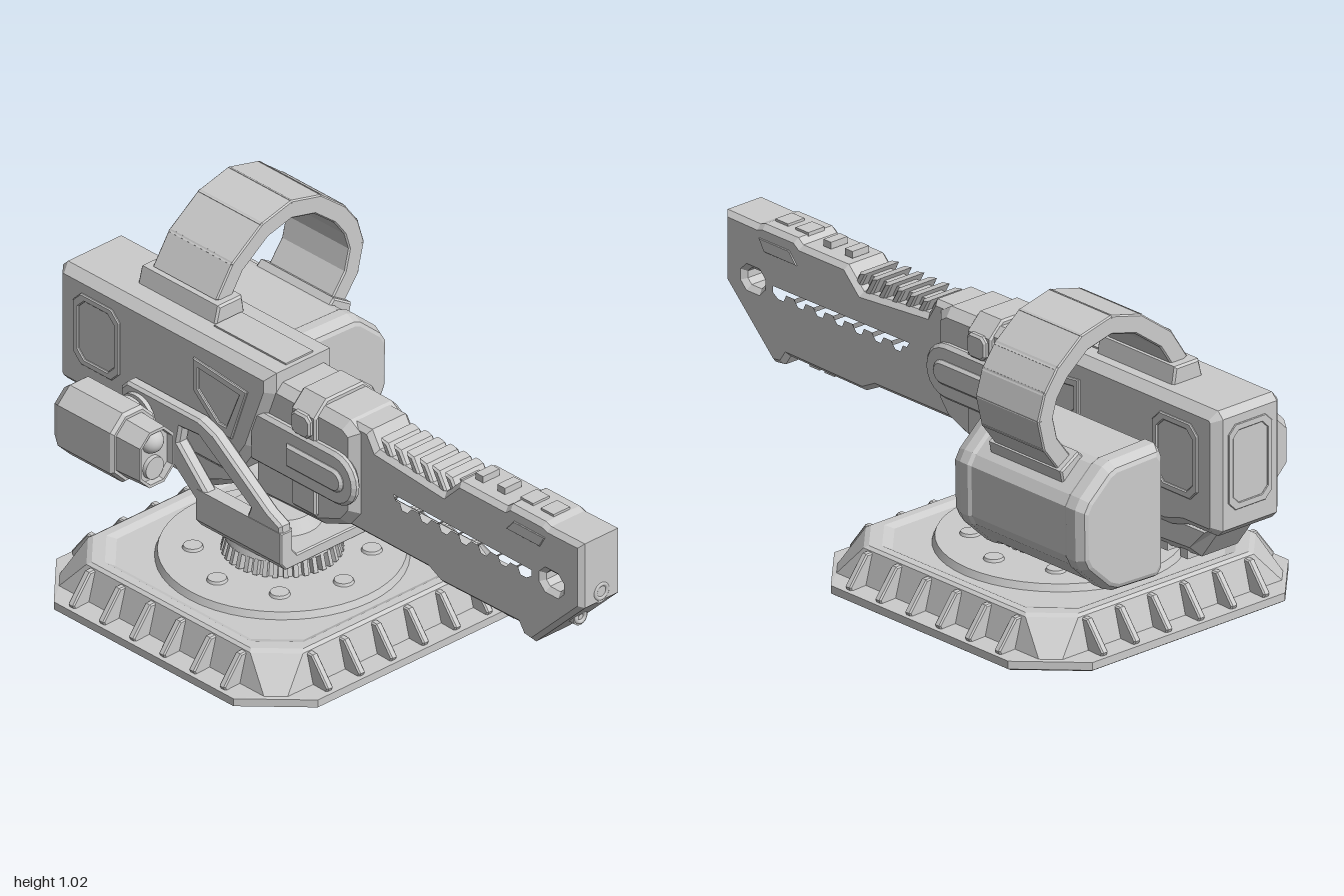
import * as THREE from 'three';

const grey = new THREE.MeshStandardMaterial({ color: 0xcccccc });
grey.name = 'light grey';
const CX = -0.0175; // centre line of gun and base

function add(parent, name, geo, x = 0, y = 0, z = 0) {
  const m = new THREE.Mesh(geo, grey);
  m.name = name;
  m.position.set(x, y, z);
  parent.add(m);
  return m;
}
const box = (p, name, w, h, d, x, y, z) => add(p, name, new THREE.BoxGeometry(w, h, d), x, y, z);
const toShape = (pts, holes = []) => {
  const s = new THREE.Shape(pts.map(([a, b]) => new THREE.Vector2(a, b)));
  s.holes = holes.map(h => new THREE.Path(h.map(([a, b]) => new THREE.Vector2(a, b))));
  return s;
};
function extrude(pts, holes, depth, bevel) {
  const g = new THREE.ExtrudeGeometry(toShape(pts, holes), {
    depth: depth - 2 * bevel, bevelEnabled: bevel > 0, bevelThickness: bevel,
    bevelSize: bevel, bevelOffset: -bevel, bevelSegments: 1,
  });
  return g.translate(0, 0, -depth / 2 + bevel);
}
// side outline in (z, y), extruded across x
const slab = (p, name, pts, width, bevel, x = CX, holes = []) =>
  add(p, name, extrude(pts, holes, width, bevel).rotateY(-Math.PI / 2), x);
// front outline in (x, y), extruded along z
const prism = (p, name, pts, z0, z1, bevel) =>
  add(p, name, extrude(pts, [], z1 - z0, bevel), 0, 0, (z0 + z1) / 2);
// closed faceted skin through rings of equal point count
function loft(rings) {
  const pos = [], n = rings[0].length;
  const tri = (a, b, c) => pos.push(a, b, c);
  rings.slice(1).forEach((r, k) => {
    const q = rings[k];
    for (let i = 0; i < n; i++) {
      const j = (i + 1) % n;
      tri(q[i], q[j], r[j]);
      tri(q[i], r[j], r[i]);
    }
  });
  const last = rings[rings.length - 1];
  for (let i = 1; i < n - 1; i++) {
    tri(rings[0][0], rings[0][i + 1], rings[0][i]);
    tri(last[0], last[i], last[i + 1]);
  }
  let vol = 0;
  for (let i = 0; i < pos.length; i += 3) vol += pos[i].dot(pos[i + 1].clone().cross(pos[i + 2]));
  if (vol < 0) pos.reverse();
  const g = new THREE.BufferGeometry().setFromPoints(pos);
  g.computeVertexNormals();
  return g;
}
// outline scaled about a centre for each [z, scale]
const loftZ = (pts, cx, cy, steps) => loft(steps.map(([z, s]) =>
  pts.map(([x, y]) => new THREE.Vector3(cx + (x - cx) * s, cy + (y - cy) * s, z))));
const octagon = (y, h, c) => [[h, h - c], [h - c, h], [c - h, h], [-h, h - c], [-h, c - h], [c - h, -h], [h - c, -h], [h, c - h]]
  .map(([x, z]) => new THREE.Vector3(x, y, z));
const cyl = (r0, r1, h, n = 32) => new THREE.CylinderGeometry(r0, r1, h, n);
const rect = (z0, z1, y0, y1, c) => [[z0 + c, y0], [z1 - c, y0], [z1, y0 + c], [z1, y1 - c], [z1 - c, y1], [z0 + c, y1], [z0, y1 - c], [z0, y0 + c]];
function pill(z0, z1, y, r) { // round at the z1 end
  const pts = [[z0, y + r], [z0, y - r]];
  for (let i = 0; i <= 10; i++) {
    const a = -Math.PI / 2 + i * Math.PI / 10;
    pts.push([z1 - r + Math.cos(a) * r, y + Math.sin(a) * r]);
  }
  return pts;
}

function buildBase() {
  const g = new THREE.Group();
  g.name = 'base';
  g.position.set(CX, 0, -0.247);
  add(g, 'plinth', loft([
    [0.03, 0.36, 0.1], [0.005, 0.39, 0.11], [0.005, 0.5, 0.155], [0.012, 0.511, 0.16], [0.035, 0.511, 0.16],
    [0.037, 0.445, 0.045], [0.128, 0.42, 0.1], [0.135, 0.41, 0.1], [0.135, 0.385, 0.1], [0.125, 0.365, 0.1],
  ].map(a => octagon(...a))));
  const fin = [[0.4, 0.03], [0.495, 0.03], [0.502, 0.045], [0.44, 0.125], [0.4, 0.125]];
  for (let s = 0; s < 4; s++) {
    const side = new THREE.Group();
    side.name = 'finRow';
    side.rotation.y = s * Math.PI / 2;
    for (let i = 0; i < 6; i++) slab(side, 'fin', fin, 0.022, 0.004, (i - 2.5) * 0.118);
    g.add(side);
  }
  add(g, 'topDisc', cyl(0.335, 0.345, 0.025, 48), 0, 0.1325);
  for (let i = 0; i < 8; i++) {
    const a = i * Math.PI / 4;
    add(g, 'bolt', cyl(0.026, 0.03, 0.01, 16), Math.cos(a) * 0.24, 0.148, Math.sin(a) * 0.24);
  }
  // underside frame and bars
  const frame = extrude(rect(-0.33, 0.33, -0.33, 0.33, 0.1), [rect(-0.29, 0.29, -0.29, 0.29, 0.09)], 0.02, 0.004);
  add(g, 'undersideFrame', frame.rotateX(Math.PI / 2), 0, 0.022);
  for (const z of [-0.035, 0.035]) box(g, 'undersideBar', 0.62, 0.025, 0.02, 0, 0.0135, z);
  // ribbed turntable
  add(g, 'turntable', cyl(0.135, 0.15, 0.055, 40), 0, 0.17);
  add(g, 'turntableRing', cyl(0.15, 0.155, 0.018, 40), 0, 0.201);
  for (let i = 0; i < 36; i++) {
    const a = i * Math.PI / 18;
    const rib = box(g, 'turntableRib', 0.026, 0.045, 0.013, Math.cos(a) * 0.148, 0.169, -Math.sin(a) * 0.148);
    rib.rotation.set(0, a, 0.25);
  }
  return g;
}

function buildYoke() {
  const g = new THREE.Group();
  g.name = 'yoke';
  prism(g, 'yokeCradle', [[-0.185, 0.235], [-0.165, 0.21], [0.13, 0.21], [0.15, 0.235], [0.15, 0.33], [0.11, 0.33],
    [0.11, 0.265], [0.09, 0.245], [-0.125, 0.245], [-0.14, 0.265], [-0.14, 0.33], [-0.185, 0.33]], -0.41, -0.075, 0.004);
  const arm = [[-0.075, 0.24], [-0.078, 0.35], [-0.13, 0.375], [-0.34, 0.525], [-0.4, 0.545], [-0.68, 0.545],
    [-0.705, 0.52], [-0.705, 0.42], [-0.68, 0.39], [-0.52, 0.38], [-0.41, 0.29], [-0.41, 0.24]];
  const slot = [[-0.22, 0.31], [-0.2, 0.36], [-0.4, 0.495], [-0.47, 0.49], [-0.48, 0.44], [-0.36, 0.32]];
  for (const x of [-0.1625, 0.13]) slab(g, 'yokeArm', arm, 0.042, 0.008, x, [slot]);
  add(g, 'pivotCone', cyl(0.08, 0.105, 0.04), CX, 0.262, -0.24);
  // side axles with collars
  for (const [x, l] of [[-0.205, 0.06], [0.165, 0.05]]) {
    add(g, 'axle', cyl(0.055, 0.055, l).rotateZ(Math.PI / 2), x, 0.465, -0.63);
    for (const d of [-0.012, 0.012]) add(g, 'axleCollar', cyl(0.066, 0.066, 0.014).rotateZ(Math.PI / 2), x + d, 0.465, -0.63);
  }
  return g;
}

function buildSensor() {
  const g = new THREE.Group();
  g.name = 'sensor';
  const out = rect(-0.385, -0.228, 0.36, 0.575, 0.045);
  add(g, 'sensorHousing', loftZ(out, -0.3065, 0.4675,
    [[-0.765, 0.78], [-0.735, 1], [-0.53, 1], [-0.52, 0.92], [-0.52, 0.84], [-0.43, 0.8], [-0.43, 0.72], [-0.45, 0.7]]));
  add(g, 'upperLens', new THREE.SphereGeometry(0.036, 24, 16), -0.3065, 0.51, -0.455);
  add(g, 'lowerLens', cyl(0.033, 0.035, 0.02, 24).rotateX(Math.PI / 2), -0.3065, 0.43, -0.448);
  return g;
}

function buildAmmo() {
  const g = new THREE.Group();
  g.name = 'ammoFeed';
  const out = [[0.18, 0.645], [0.195, 0.665], [0.36, 0.66], [0.385, 0.65], [0.465, 0.58], [0.483, 0.55], [0.48, 0.4],
    [0.465, 0.37], [0.385, 0.295], [0.35, 0.28], [0.195, 0.275], [0.18, 0.295]];
  add(g, 'ammoDrum', loftZ(out, 0.33, 0.47, [[-0.88, 0.86], [-0.875, 0.92], [-0.85, 1], [-0.815, 1], [-0.805, 0.965],
    [-0.435, 0.965], [-0.425, 1], [-0.395, 1], [-0.365, 0.93], [-0.36, 0.87]]));
  // chute of overlapping links
  const path = [[0, 0.81], [0.05, 0.887], [0.15, 0.96], [0.247, 0.985], [0.343, 0.962], [0.424, 0.898], [0.465, 0.842],
    [0.484, 0.78], [0.466, 0.705], [0.41, 0.63]];
  for (let i = 0; i < path.length - 1; i++) {
    const [x0, y0] = path[i], [x1, y1] = path[i + 1];
    const l = Math.hypot(x1 - x0, y1 - y0), h = l / 2 + 0.004;
    const link = add(g, 'chuteLink', extrude([[-h, -0.024], [h, -0.024], [h + 0.006, 0.03], [-h - 0.006, 0.03]], [], 0.25, 0.004),
      (x0 + x1) / 2, (y0 + y1) / 2, -0.615);
    link.rotation.z = Math.atan2(y1 - y0, x1 - x0);
  }
  prism(g, 'chuteMount', [[-0.06, 0.755], [0.052, 0.755], [0.042, 0.815], [-0.045, 0.815]], -0.77, -0.465, 0.006);
  prism(g, 'drumInlet', [[0.36, 0.64], [0.44, 0.58], [0.45, 0.625], [0.385, 0.665]], -0.76, -0.47, 0.005);
  return g;
}

function buildGun() {
  const g = new THREE.Group();
  g.name = 'gun';
  // rear housing
  slab(g, 'rearHousing', [[-0.165, 0.765], [-0.98, 0.765], [-1, 0.745], [-1, 0.42], [-0.98, 0.4], [-0.87, 0.4], [-0.8, 0.38],
    [-0.32, 0.38], [-0.24, 0.5], [-0.165, 0.7]], 0.246, 0.025);
  slab(g, 'lowerHousing', [[-0.96, 0.41], [-0.88, 0.3], [-0.45, 0.28], [-0.22, 0.4]], 0.19, 0.03);
  for (let i = 0; i < 5; i++) box(g, 'lowerRib', 0.15, 0.03, 0.03, CX, 0.295, -0.82 + i * 0.08);
  box(g, 'topPlate', 0.1, 0.008, 0.28, CX, 0.766, -0.32);
  const vent = [[-0.25, 0.68], [-0.46, 0.7], [-0.46, 0.6], [-0.36, 0.51], [-0.31, 0.51]];
  const ventHole = [[-0.28, 0.66], [-0.44, 0.675], [-0.44, 0.61], [-0.36, 0.54], [-0.33, 0.54]];
  for (const s of [-1, 1]) {
    slab(g, 'ventFrame', vent, 0.016, 0.003, CX + s * 0.122, [ventHole]);
    slab(g, 'windowFrame', rect(-0.93, -0.75, 0.49, 0.71, 0.03), 0.014, 0.003, CX + s * 0.122, [rect(-0.91, -0.77, 0.51, 0.69, 0.025)]);
    slab(g, 'sidePill', pill(-0.25, 0.16, 0.55, 0.08), 0.03, 0.01, CX + s * 0.105);
    slab(g, 'innerPill', pill(-0.1, 0.12, 0.55, 0.035), 0.025, 0.008, CX + s * 0.118);
    slab(g, 'strapBuckle', rect(-0.085, -0.01, 0.63, 0.7, 0.015), 0.03, 0.006, CX + s * 0.11);
    slab(g, 'muzzlePlate', [[0.86, 0.685], [0.74, 0.685], [0.71, 0.65], [0.84, 0.65]], 0.009, 0.002, CX + s * 0.074);
  }
  const backFrame = extrude(rect(CX - 0.08, CX + 0.08, 0.47, 0.72, 0.025), [rect(CX - 0.062, CX + 0.062, 0.49, 0.7, 0.02)], 0.012, 0.002);
  add(g, 'backFrame', backFrame, 0, 0, -0.997);
  // receiver and strap
  slab(g, 'receiver', [[0.14, 0.7], [0.1, 0.725], [-0.26, 0.73], [-0.26, 0.35], [0, 0.36], [0.1, 0.4], [0.14, 0.45]], 0.2, 0.025);
  prism(g, 'strap', rect(CX - 0.112, CX + 0.112, 0.355, 0.742, 0.045), -0.095, 0, 0.006);
  // barrel shroud with toothed side slot
  const slot = [[0.25, 0.575], [0.82, 0.575], [0.82, 0.535]];
  for (let i = 0; i < 7; i++) {
    const z = 0.79 - i * 0.077;
    slot.push([z, 0.515], [z - 0.035, 0.515], [z - 0.045, 0.535], [z - 0.06, 0.535]);
  }
  const shroud = [[1, 0.72], [1, 0.52], [0.81, 0.335], [0.77, 0.34], [0.75, 0.37], [0.45, 0.365], [0.4, 0.39], [0, 0.39],
    [0, 0.72], [0.17, 0.72], [0.2, 0.67], [0.46, 0.65], [0.52, 0.71], [0.7, 0.71], [0.72, 0.725], [0.85, 0.725], [0.87, 0.718]];
  slab(g, 'barrelShroud', shroud, 0.15, 0.014, CX, [slot, rect(0.85, 0.92, 0.53, 0.58, 0.015)]);
  add(g, 'barrelRod', cyl(0.014, 0.014, 0.62, 16).rotateX(Math.PI / 2), CX, 0.56, 0.53);
  // slanted cooling ribs on top
  box(g, 'ribCore', 0.07, 0.06, 0.32, CX, 0.66, 0.33);
  for (let i = 0; i < 6; i++) {
    const z = 0.2 + i * 0.05;
    slab(g, 'coolingRib', [[z, 0.705], [z + 0.028, 0.7], [z + 0.068, 0.63], [z + 0.04, 0.63]], 0.125, 0.006);
  }
  for (const [z, l] of [[0.555, 0.03], [0.64, 0.03], [0.74, 0.05], [0.82, 0.05]])
    box(g, 'topLug', 0.06, 0.02, l, CX, 0.722, z);
  for (const z of [0.62, 0.68]) box(g, 'bottomLug', 0.08, 0.03, 0.04, CX, 0.365, z);
  // muzzle face
  prism(g, 'muzzlePanel', rect(CX - 0.055, CX + 0.055, 0.6, 0.705, 0.015), 0.994, 1, 0.002);
  for (const [y, z, r] of [[0.548, 0.985, 0.036], [0.434, 0.905, 0.026]]) {
    add(g, 'nozzle', cyl(r, r, 0.04, 24).rotateX(Math.PI / 2), CX, y, z - 0.007);
    add(g, 'nozzleRing', new THREE.TorusGeometry(r * 0.6, 0.007, 8, 24), CX, y, z + 0.012);
  }
  return g;
}

export function createModel() {
  const model = new THREE.Group();
  model.name = 'turret';
  model.add(buildBase(), buildYoke(), buildSensor(), buildAmmo(), buildGun());
  return model;
}
